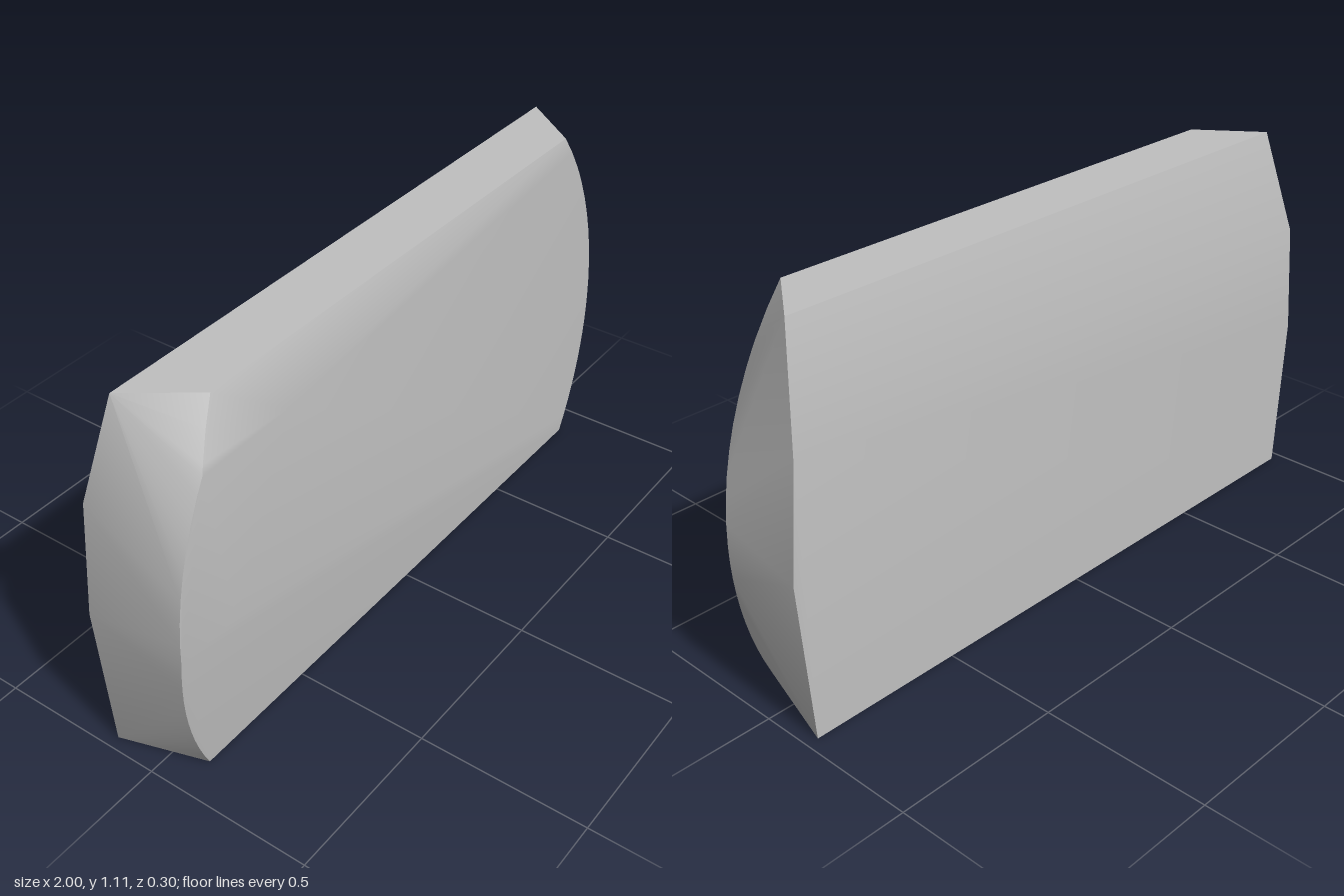
import * as THREE from 'three';
import { ConvexGeometry } from 'three/addons/geometries/ConvexGeometry.js';
import { toCreasedNormals } from 'three/addons/utils/BufferGeometryUtils.js';

const HEIGHT = 1.11;
const ARC_Y = 0.47; // height of the widest point
const ARC_R = 1.03;
const STEPS = 10;

// Half width of the rounded front edge at height y
const halfWidth = (y) => 1 - ARC_R + Math.sqrt(ARC_R ** 2 - (y - ARC_Y) ** 2);

// Front depth on the swollen side: slopes up, stays level, slopes back
function swollenDepth(y) {
  if (y < ARC_Y) return 0.1 + 0.05 * (y / ARC_Y);
  if (y > 0.96) return 0.15 - 0.05 * ((y - 0.96) / (HEIGHT - 0.96));
  return 0.15;
}

export function createModel() {
  const group = new THREE.Group();
  group.name = 'cushion';
  const grey = new THREE.MeshStandardMaterial({ color: 0xc0c0c0 });
  grey.name = 'grey';

  const points = [];
  const add = (x, y, z) => points.push(new THREE.Vector3(x, y, z));

  // Curved front edges: flat on one side, swollen on the other
  const heights = [0.96];
  for (let i = 0; i <= STEPS; i++) {
    heights.push((ARC_Y * i) / STEPS);
    if (i > 0) heights.push(ARC_Y + ((HEIGHT - ARC_Y) * i) / STEPS);
  }
  for (const y of heights) {
    add(halfWidth(y), y, 0.1);
    add(-halfWidth(y), y, swollenDepth(y));
  }

  // Inner corners of the swollen area
  add(-0.57, 0.965, 0.15);
  add(-0.8, ARC_Y, 0.15);

  // Back edges, leaning forward at the top
  for (const side of [-1, 1]) {
    add(side * 0.965, 0, -0.15);
    add(side * 1, ARC_Y, -0.15);
    add(side * 0.97, 0.8, -0.15);
    add(side * 0.91, HEIGHT, -0.08);
  }

  // Smooth faces with sharp borders
  const body = new THREE.Mesh(toCreasedNormals(new ConvexGeometry(points), 0.6), grey);
  body.name = 'cushionBody';
  group.add(body);
  return group;
}
